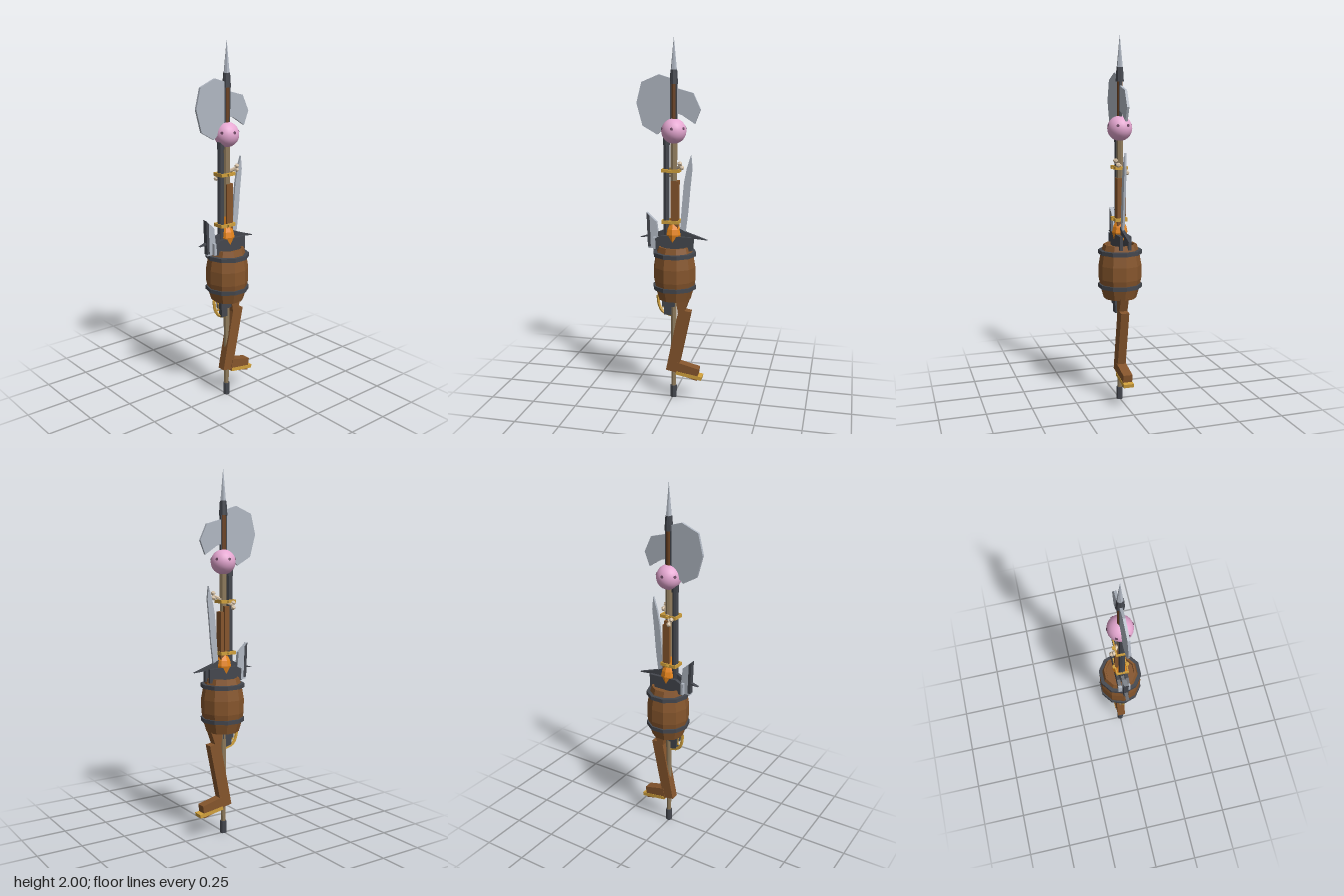
import * as THREE from 'three';

const C = { wood: 0x85552c, darkWood: 0x6b4222, pole: 0x8f7b5c, iron: 0x44474e, steel: 0xb0b7c2,
  brass: 0xd0a03c, pink: 0xe6a8d2, hole: 0x6b4560, orange: 0xe8861c, bone: 0xd8c3a8 };
const AXIS = -0.005; // z of the pole

export function createModel() {
  const root = new THREE.Group();
  const mats = {};
  const mat = (c) => (mats[c] ??= new THREE.MeshStandardMaterial({ color: C[c], flatShading: c !== 'pink', side: THREE.DoubleSide }));
  const add = (name, geo, color, x = 0, y = 0, z = 0) => {
    const m = new THREE.Mesh(geo, mat(color));
    m.name = name;
    m.position.set(x, y, z);
    root.add(m);
    return m;
  };
  // Upright cylinder between two heights
  const rod = (name, color, r0, r1, y0, y1, x = 0, z = AXIS, n = 8) =>
    add(name, new THREE.CylinderGeometry(r1, r0, y1 - y0, n), color, x, (y0 + y1) / 2, z);
  // Side profile of (z, y) points, extruded across x
  const plate = (name, color, pts, t, x = 0) => {
    const g = new THREE.ExtrudeGeometry(new THREE.Shape(pts.map((p) => new THREE.Vector2(...p))), { depth: t, bevelEnabled: false });
    g.translate(0, 0, -t / 2).rotateY(-Math.PI / 2);
    return add(name, g, color, x);
  };
  const box = (name, color, w, h, d, x, y, z) => add(name, new THREE.BoxGeometry(w, h, d), color, x, y, z);
  const lathe = (pts, n) => new THREE.LatheGeometry(pts.map((p) => new THREE.Vector2(...p)), n);

  // Pole with iron foot and spear point
  rod('poleFoot', 'iron', 0.018, 0.018, 0, 0.07);
  rod('lowerPole', 'pole', 0.013, 0.017, 0.07, 0.6);
  rod('middlePole', 'pole', 0.019, 0.019, 0.88, 1.48);
  rod('upperPole', 'darkWood', 0.014, 0.014, 1.45, 1.78);
  rod('spearSocket', 'iron', 0.023, 0.018, 1.76, 1.835);
  rod('spearPoint', 'steel', 0.017, 0.0005, 1.83, 2, 0, AXIS, 6);
  for (const s of [-1, 1]) box('socketStrap', 'iron', 0.014, 0.22, 0.01, 0, 1.67, AXIS + s * 0.014);

  // Axe head: wide front blade and smaller rear blade
  plate('frontBlade', 'steel', [[0.01, 1.79], [0.075, 1.81], [0.17, 1.77], [0.198, 1.66], [0.165, 1.54], [0.085, 1.495], [0.045, 1.53], [0.01, 1.57]], 0.013);
  plate('rearBlade', 'steel', [[-0.018, 1.74], [-0.11, 1.715], [-0.15, 1.63], [-0.12, 1.555], [-0.05, 1.6], [-0.018, 1.61]], 0.013);

  // Pink ball with small finger holes
  const ballY = 1.515, ballR = 0.067;
  add('ball', new THREE.SphereGeometry(ballR, 24, 16), 'pink', 0, ballY, AXIS);
  for (const a of [-0.5, 0.5, 1.6, 2.7, 3.6, 4.7]) {
    const d = new THREE.Vector3(Math.sin(a), 0.25, Math.cos(a)).normalize();
    const h = add('ballHole', new THREE.CylinderGeometry(0.008, 0.008, 0.003, 8), 'hole');
    h.position.copy(d).multiplyScalar(ballR).add(new THREE.Vector3(0, ballY, AXIS));
    h.quaternion.setFromUnitVectors(new THREE.Vector3(0, 1, 0), d);
  }

  // Gun barrel, wooden hand guard and brass clamps
  rod('gunBarrel', 'iron', 0.018, 0.016, 0.88, 1.46, 0, 0.035);
  rod('muzzle', 'iron', 0.02, 0.02, 1.44, 1.48, 0, 0.035);
  box('handGuard', 'wood', 0.044, 0.3, 0.042, 0, 1.1, -0.012);
  box('sideGuard', 'wood', 0.016, 0.24, 0.03, -0.024, 1.16, 0);
  for (const y of [1.025, 1.305]) {
    for (const z of [0.053, -0.036]) box('clampEnd', 'brass', 0.06, 0.018, 0.007, 0, y, z);
    for (const x of [-0.031, 0.031]) box('clampSide', 'brass', 0.007, 0.018, 0.095, x, y, 0.0085);
    for (const x of [-0.039, 0.039]) box('clampLug', 'brass', 0.012, 0.012, 0.016, x, y, 0.008);
  }

  // Bone tied across the pole
  const boneA = new THREE.Vector3(-0.045, 1.285, 0.03), boneB = new THREE.Vector3(0.03, 1.335, -0.05);
  add('boneShaft', new THREE.TubeGeometry(new THREE.LineCurve3(boneA, boneB), 1, 0.009, 6), 'bone');
  for (const p of [boneA, boneB]) for (const s of [-1, 1])
    add('boneKnob', new THREE.IcosahedronGeometry(0.014, 0), 'bone', p.x + s * 0.006, p.y + s * 0.012, p.z + s * 0.004);

  // Leaf blade behind the pole
  plate('rearKnife', 'steel', [[-0.04, 0.96], [-0.05, 1.1], [-0.062, 1.24], [-0.078, 1.32], [-0.1, 1.39], [-0.107, 1.32], [-0.095, 1.2], [-0.085, 1.08], [-0.07, 0.96]], 0.012);

  // Orange bulb around the pole
  add('orangeBulb', lathe([[0.015, 0.9], [0.034, 0.915], [0.044, 0.955], [0.038, 0.985], [0.02, 1.02], [0.019, 1.07]], 8), 'orange', 0, 0, AXIS);

  // Curved claws on both sides
  for (const s of [-1, 1]) {
    const z = (v) => AXIS + s * v;
    plate('claw', 'iron', [[z(0.02), 0.995], [z(0.075), 0.968], [z(0.187), 0.93], [z(0.1), 0.937], [z(0.02), 0.95]], 0.018);
  }

  // Lock plates and front fin above the barrel
  for (const s of [-1, 1]) {
    plate('lockPlate', 'iron', [[0.1, 0.87], [0.1, 0.925], [0.06, 0.95], [-0.11, 0.945], [-0.11, 0.87]], 0.018, s * 0.024);
    box('lockPlateTip', 'steel', 0.02, 0.065, 0.014, s * 0.024, 0.905, 0.098);
  }
  plate('frontFin', 'steel', [[0.145, 1.07], [0.09, 1.02], [0.08, 0.94], [0.085, 0.87], [0.135, 0.87]], 0.022);
  plate('finEdge', 'iron', [[0.145, 1.07], [0.128, 1.05], [0.122, 0.88], [0.138, 0.88]], 0.026);

  // Ten-sided keg with two hoops
  add('keg', lathe([[0.001, 0.59], [0.09, 0.59], [0.106, 0.645], [0.117, 0.7], [0.117, 0.775], [0.106, 0.84], [0.091, 0.89], [0.08, 0.89], [0.078, 0.875], [0.001, 0.875]], 10), 'wood', 0, 0, -0.01);
  for (const y of [0.66, 0.848]) rod('kegHoop', 'iron', 0.12, 0.12, y - 0.011, y + 0.011, 0, -0.01, 10);

  // Trigger housing and brass guard
  box('triggerHousing', 'iron', 0.045, 0.05, 0.07, 0.008, 0.57, 0.02);
  box('triggerBlock', 'iron', 0.028, 0.06, 0.04, 0.008, 0.525, 0.025);
  const guard = new THREE.CatmullRomCurve3([[0.085, 0.6], [0.078, 0.545], [0.055, 0.505], [0.005, 0.488]].map(([z, y]) => new THREE.Vector3(0, y, z)));
  add('triggerGuard', new THREE.TubeGeometry(guard, 8, 0.009, 5), 'brass');
  const trigger = new THREE.CatmullRomCurve3([[0.062, 0.6], [0.052, 0.56], [0.055, 0.53]].map(([z, y]) => new THREE.Vector3(0, y, z)));
  add('trigger', new THREE.TubeGeometry(trigger, 5, 0.006, 5), 'brass');

  // Bent wooden leg with foot and brass sole
  plate('legTop', 'wood', [[-0.02, 0.6], [-0.098, 0.6], [-0.07, 0.52], [-0.035, 0.5]], 0.046);
  plate('leg', 'wood', [[-0.038, 0.53], [-0.105, 0.52], [-0.03, 0.155], [0.035, 0.167]], 0.046);
  plate('foot', 'wood', [[-0.03, 0.217], [-0.153, 0.187], [-0.143, 0.118], [-0.02, 0.15]], 0.052);
  plate('sole', 'brass', [[-0.025, 0.164], [-0.172, 0.142], [-0.168, 0.122], [-0.022, 0.145]], 0.056);
  return root;
}
